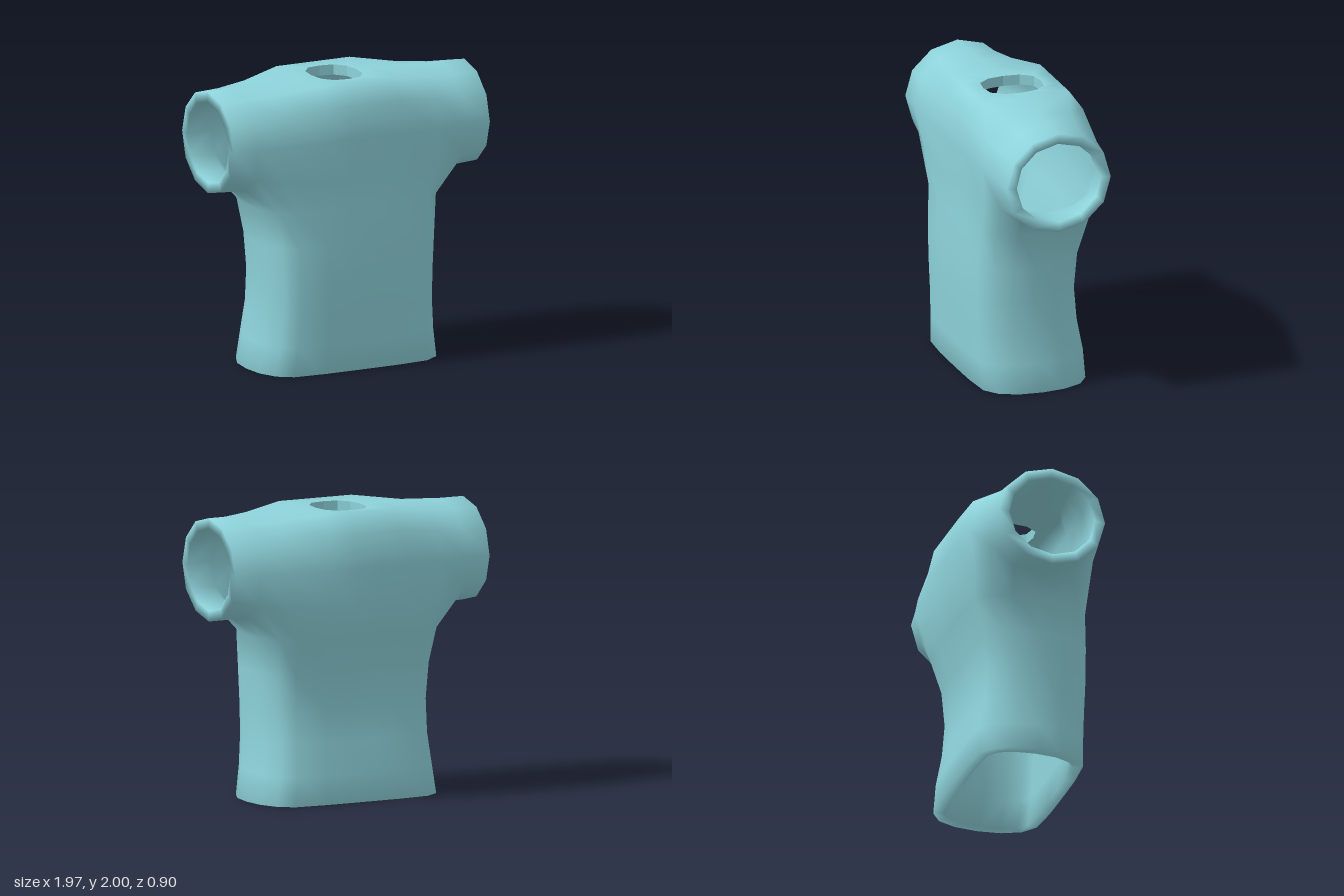
import * as THREE from 'three';

const THICKNESS = 0.072;
const COLS = [-0.985, -0.8, -0.58, -0.28, -0.1, 0, 0.1, 0.28, 0.58, 0.8, 0.985];
const SIDES = 12;

// Chest cross-section [z, y]; starts at the top, runs over the front and under to the back
const CHEST = [
  [0.01, 1.998], [0.33, 2.0], [0.43, 1.86], [0.445, 1.63], [0.435, 1.35], [0.25, 1.28],
  [0.02, 1.27], [-0.25, 1.28], [-0.43, 1.35], [-0.455, 1.63], [-0.41, 1.86], [-0.31, 2.0],
];
// How far each column has turned from chest section to round cuff: [over the shoulder, below]
const BLEND = { 0: [0, 0], 0.1: [0, 0], 0.28: [0, 0], 0.58: [0.7, 0.25], 0.8: [0.95, 0.7], 0.985: [1, 1] };

// Torso loops: [y, half width, front z, back z]
const TORSO = [
  [1.15, 0.68, 0.44, -0.39], [0.9, 0.655, 0.45, -0.31], [0.65, 0.64, 0.45, -0.29],
  [0.42, 0.64, 0.44, -0.31], [0.2, 0.66, 0.43, -0.35], [0, 0.692, 0.42, -0.36],
];
// Quarter outline of a torso loop, from the middle of the front to the side: [x, z] fractions
const OUTLINE = [[0, 1], [0.15, 1], [0.41, 0.995], [0.74, 0.95], [0.89, 0.76], [0.975, 0.42], [1, 0]];
// Quarter outline of the neck hole
const NECK = [[0, 0.21], [0.1, 0.195], [0.16, 0.115], [0.175, 0]];

// Mirrors a quarter outline into a full loop: front left, front right, back right, back left
function fullLoop(q) {
  const n = q.length - 1;
  const front = [];
  for (let i = n - 1; i > 0; i--) front.push([-q[i][0], q[i][1]]);
  for (let i = 0; i <= n; i++) front.push(q[i]);
  const back = [];
  for (let i = n - 1; i >= 0; i--) back.push([q[i][0], -q[i][1]]);
  for (let i = 1; i <= n; i++) back.push([-q[i][0], -q[i][1]]);
  return [...front, ...back];
}

function shirtGeometry() {
  const pos = [], idx = [], grid = new Map();
  const add = (x, y, z) => pos.push(x, y, z) / 3 - 1;
  const quad = (a, b, c, d) => idx.push(a, b, c, a, c, d);

  // Vertex of the shoulder tube at column i, side k
  const tube = (i, k) => {
    k = (k + SIDES) % SIDES;
    const key = i * SIDES + k;
    if (!grid.has(key)) {
      const x = COLS[i], a = (k / SIDES) * Math.PI * 2;
      const [over, below] = BLEND[Math.abs(x)];
      const t = THREE.MathUtils.lerp(below, over, Math.max(0, Math.cos(a)));
      const z = THREE.MathUtils.lerp(CHEST[k][0], 0.03 + 0.378 * Math.sin(a), t);
      const y = THREE.MathUtils.lerp(CHEST[k][1], 1.623 + 0.357 * Math.cos(a), t);
      grid.set(key, add(x, y, z));
    }
    return grid.get(key);
  };

  // Sleeves and shoulders, leaving gaps for the neck and the torso
  for (let i = 0; i < COLS.length - 1; i++) {
    for (let k = 0; k < SIDES; k++) {
      const neckGap = i >= 3 && i <= 6 && (k === 0 || k === SIDES - 1);
      const torsoGap = i >= 1 && i <= 8 && k >= 4 && k < 8;
      if (neckGap || torsoGap) continue;
      quad(tube(i, k), tube(i, k + 1), tube(i + 1, k + 1), tube(i + 1, k));
    }
  }

  // Vertices round a rectangular gap, in the order of fullLoop
  const gapLoop = (i0, i1, front, sides, back) => {
    const loop = [];
    for (let i = i0; i <= i1; i++) loop.push(tube(i, front));
    for (const k of sides) loop.push(tube(i1, k));
    for (let i = i1; i >= i0; i--) loop.push(tube(i, back));
    for (const k of [...sides].reverse()) loop.push(tube(i0, k));
    return loop;
  };
  const bridge = (a, b) => a.forEach((v, j) => {
    const n = (j + 1) % a.length;
    quad(v, b[j], b[n], a[n]);
  });

  // Torso
  let upper = gapLoop(1, 9, 4, [5, 6, 7], 8);
  const outline = fullLoop(OUTLINE);
  // Rotate so both loops begin at the front left corner
  const torsoOutline = [...outline.slice(1), outline[0]];
  for (const [y, w, f, b] of TORSO) {
    const mid = (f + b) / 2, half = (f - b) / 2;
    const lower = torsoOutline.map(([u, v]) => add(u * w, y, mid + v * half));
    bridge(upper, lower);
    upper = lower;
  }

  // Neck hole
  const neck = fullLoop(NECK).map(([x, z]) => add(x, 1.994, z));
  bridge(neck, gapLoop(3, 7, 1, [0], -1));

  // Inner lining, set in along the normals
  const outer = new THREE.BufferGeometry();
  outer.setAttribute('position', new THREE.Float32BufferAttribute(pos, 3));
  outer.setIndex(idx);
  outer.computeVertexNormals();
  const nrm = outer.attributes.normal, count = pos.length / 3, faces = idx.length;
  for (let v = 0; v < count; v++) {
    const [x, y, z] = pos.slice(v * 3, v * 3 + 3);
    const n = new THREE.Vector3().fromBufferAttribute(nrm, v);
    if (y === 0) n.y = 0; // keep the hem level
    if (Math.abs(x) === 0.985) n.x = 0; // keep the cuffs flat
    if (neck.includes(v)) n.set(0, 1, 0); // keep the neck hole upright
    n.normalize().multiplyScalar(THICKNESS);
    add(x - n.x, y - n.y, z - n.z);
  }
  const edges = new Map();
  for (let f = 0; f < faces; f += 3) {
    const t = [idx[f], idx[f + 1], idx[f + 2]];
    idx.push(t[0] + count, t[2] + count, t[1] + count);
    t.forEach((a, j) => edges.set(`${a},${t[(j + 1) % 3]}`, [a, t[(j + 1) % 3]]));
  }
  // Rims: soft at the cuffs and hem, sharp at the neck
  const copy = (v) => add(...pos.slice(v * 3, v * 3 + 3));
  for (const [a, b] of edges.values()) {
    if (edges.has(`${b},${a}`)) continue;
    const rim = [b, a, a + count, b + count];
    quad(...(neck.includes(a) ? rim.map(copy) : rim));
  }

  const geo = new THREE.BufferGeometry();
  geo.setAttribute('position', new THREE.Float32BufferAttribute(pos, 3));
  geo.setIndex(idx);
  geo.computeVertexNormals();
  return geo;
}

export function createModel() {
  const group = new THREE.Group();
  group.name = 'tShirt';
  const fabric = new THREE.MeshStandardMaterial({ color: 0x8ed3db });
  fabric.name = 'paleTurquoiseFabric';
  const shirt = new THREE.Mesh(shirtGeometry(), fabric);
  shirt.name = 'shirt';
  group.add(shirt);
  return group;
}
